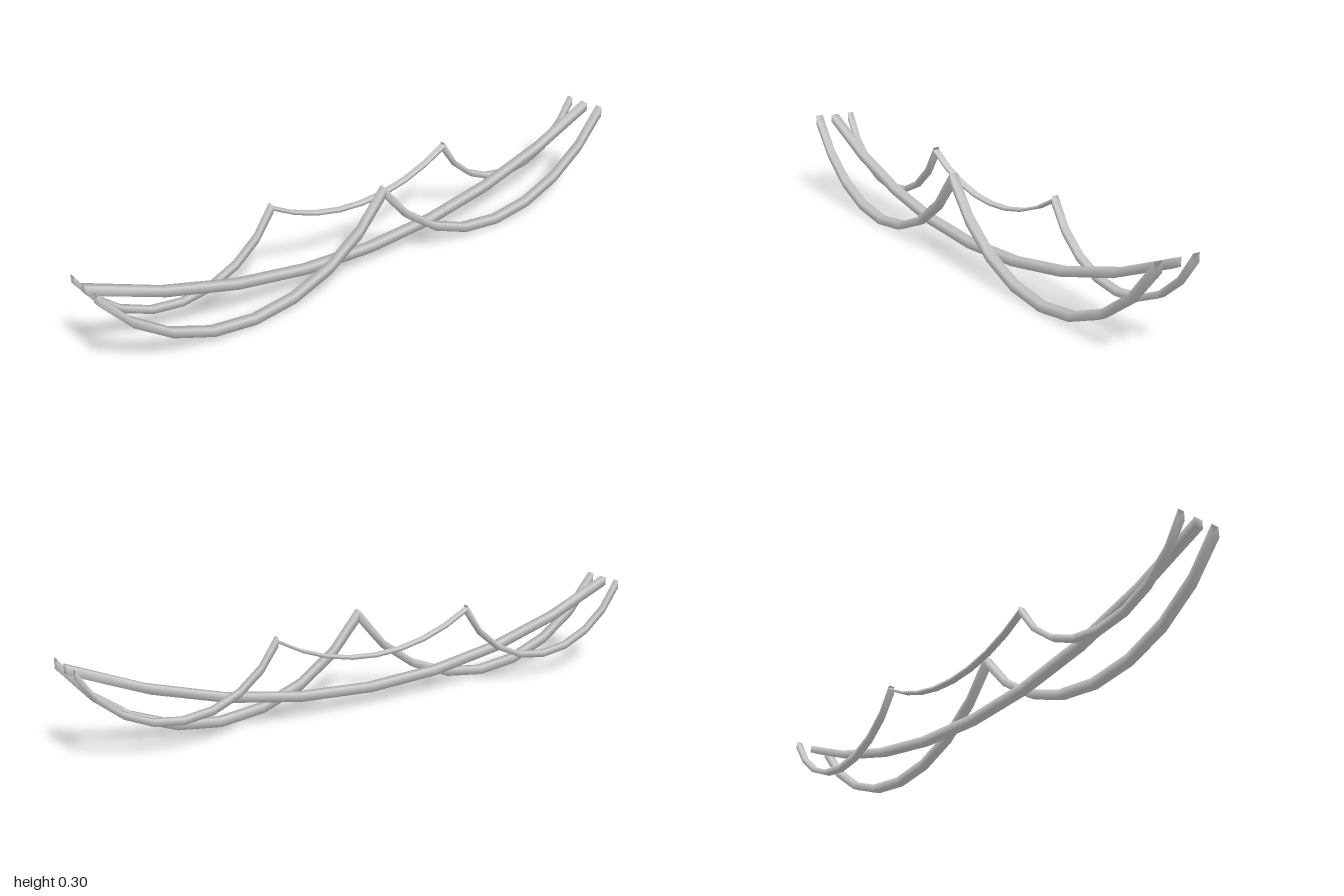
import * as THREE from 'three';
import { mergeVertices } from 'three/addons/utils/BufferGeometryUtils.js';

const TOP = 0.281; // height of the hanging points

// One hanging swag: a square bar bent into a circular arc, with upright end
// cuts and normals smoothed around its edges
function makeSwag({ name, x0, x1, low, z, ry, rz }) {
  const box = new THREE.BoxGeometry(2, 2, 2, 8, 1, 1);
  box.deleteAttribute('uv');
  box.deleteAttribute('normal');
  const geometry = mergeVertices(box);
  const pos = geometry.attributes.position;
  const halfWidth = (x1 - x0) / 2;
  const drop = TOP - low;
  const radius = (halfWidth * halfWidth + drop * drop) / (2 * drop);
  const maxAngle = 2 * Math.atan(drop / halfWidth);
  for (let i = 0; i < pos.count; i++) {
    const angle = maxAngle * pos.getX(i);
    const half = ry * Math.sqrt(1 + 0.25 * Math.tan(angle) ** 2);
    pos.setXYZ(
      i,
      (x0 + x1) / 2 + radius * Math.sin(angle),
      low + radius * (1 - Math.cos(angle)) + half * pos.getY(i),
      z + rz * pos.getZ(i)
    );
  }
  geometry.computeVertexNormals();
  const mesh = new THREE.Mesh(geometry, new THREE.MeshStandardMaterial({ color: 0xcccccc }));
  mesh.name = name;
  return mesh;
}

export function createModel() {
  const model = new THREE.Group();
  model.name = 'garlands';

  // Three strands, one behind the other
  const strands = [
    { name: 'frontStrand', z: 0.0645, rz: 0.0135, swags: [
      { name: 'frontRightSwag', x0: -1, x1: 0, low: 0.0135, ry: 0.0135 },
      { name: 'frontLeftSwag', x0: 0, x1: 1, low: 0.0135, ry: 0.0135 },
    ] },
    { name: 'middleStrand', z: 0, rz: 0.0145, swags: [
      { name: 'middleSwag', x0: -1, x1: 0.995, low: 0.054, ry: 0.0135 },
    ] },
    { name: 'backStrand', z: -0.066, rz: 0.011, swags: [
      { name: 'backRightSwag', x0: -1, x1: -0.335, low: 0.077, ry: 0.01 },
      { name: 'backCentreSwag', x0: -0.335, x1: 0.368, low: 0.182, ry: 0.005 },
      { name: 'backLeftSwag', x0: 0.368, x1: 0.993, low: 0.09, ry: 0.01 },
    ] },
  ];

  for (const { name, z, rz, swags } of strands) {
    const strand = new THREE.Group();
    strand.name = name;
    for (const swag of swags) strand.add(makeSwag({ ...swag, z, rz }));
    model.add(strand);
  }
  return model;
}
